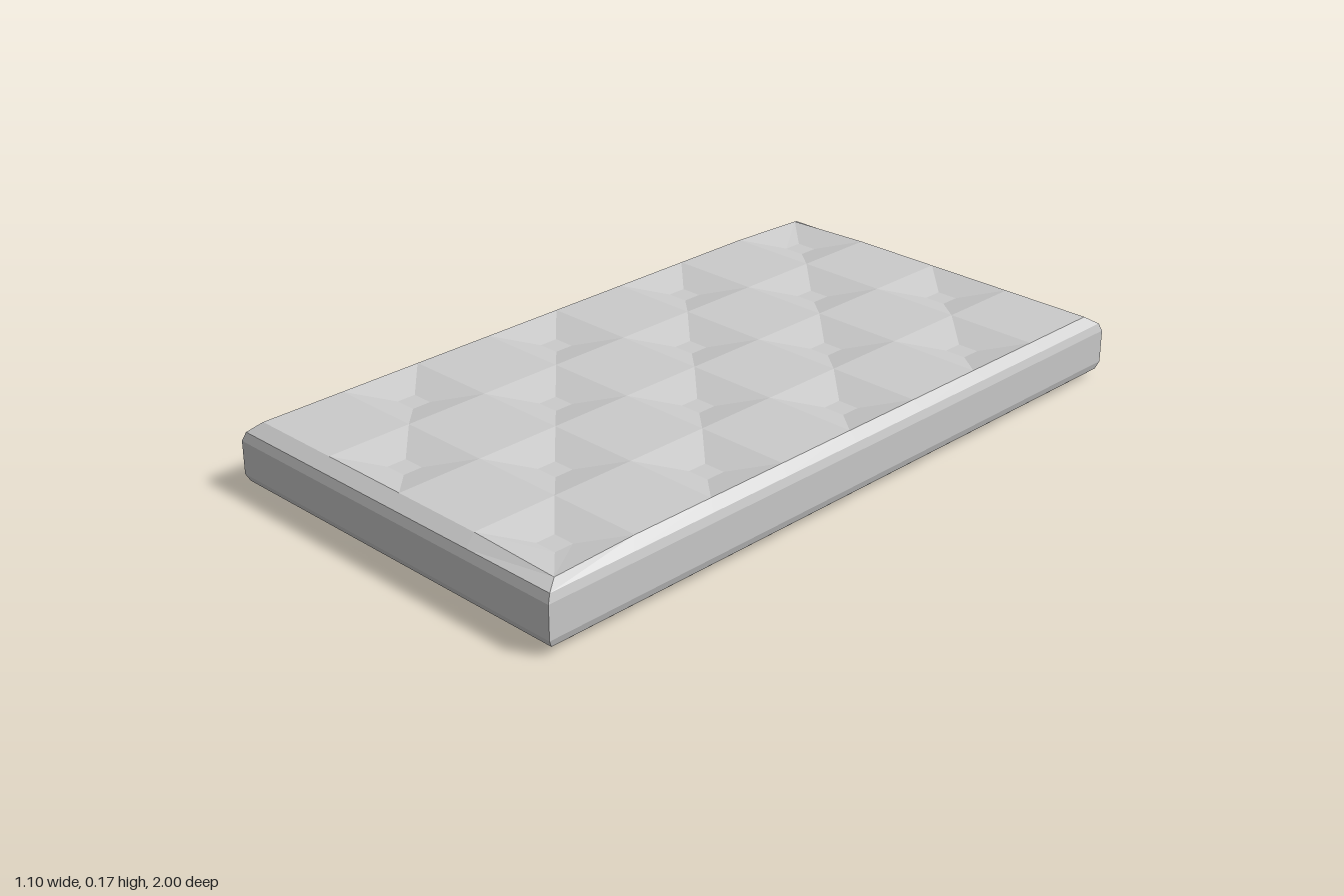
import * as THREE from 'three';

const COLS = 4, ROWS = 8;              // quilting cells across the top
const HX = 0.52, HZ = 0.955;           // half size of the quilted field
const TOP = 0.175, DEPTH = 0.025, SAG = 0.008;

const material = new THREE.MeshStandardMaterial({ color: 0xcccccc, flatShading: true });

// Flat-shaded mesh from a list of counter-clockwise quads
function quadMesh(name, quads) {
  const pos = [];
  for (const [a, b, c, d] of quads) for (const p of [a, b, c, a, c, d]) pos.push(...p);
  const geo = new THREE.BufferGeometry();
  geo.setAttribute('position', new THREE.Float32BufferAttribute(pos, 3));
  geo.computeVertexNormals();
  const mesh = new THREE.Mesh(geo, material);
  mesh.name = name;
  return mesh;
}

// Grid corner of the quilting; the two corners that end in a tuft sag a little
function gridPoint(i, j) {
  const sag = (i === 0 && j === 0) || (i === COLS && j === ROWS);
  return [HX * (2 * i / COLS - 1), TOP - (sag ? SAG : 0), HZ * (2 * j / ROWS - 1)];
}

// Quilted top: flat pads alternating with sunken tufts in a checkerboard
function quiltedTop() {
  const quads = [];
  for (let i = 0; i < COLS; i++) for (let j = 0; j < ROWS; j++) {
    const outer = [gridPoint(i, j), gridPoint(i, j + 1), gridPoint(i + 1, j + 1), gridPoint(i + 1, j)];
    if ((i + j) % 2) { quads.push(outer); continue; }
    const cx = HX * ((2 * i + 1) / COLS - 1), cz = HZ * ((2 * j + 1) / ROWS - 1);
    const inner = [[-1, -1], [-1, 1], [1, 1], [1, -1]]
      .map(([sx, sz]) => [cx + sx * 0.03, TOP - DEPTH, cz + sz * 0.027]);
    for (let k = 0; k < 4; k++) {
      const n = (k + 1) % 4;
      quads.push([outer[k], outer[n], inner[n], inner[k]]);
    }
    quads.push(inner);
  }
  return quadMesh('quiltedTop', quads);
}

// Grid indices around the border, counter-clockwise from above
function borderIndices() {
  const list = [];
  for (let j = 0; j < ROWS; j++) list.push([0, j]);
  for (let i = 0; i < COLS; i++) list.push([i, ROWS]);
  for (let j = ROWS; j > 0; j--) list.push([COLS, j]);
  for (let i = COLS; i > 0; i--) list.push([i, 0]);
  return list;
}

// Sides with bevelled upper and lower edges: [half x, y, half z] per ring
function sides() {
  const rings = [
    [0.52, 0, 0.955], [0.544, 0.02, 0.99], [0.55, 0.04, 1],
    [0.55, 0.13, 1], [0.544, 0.152, 0.99],
  ].map(([hx, y, hz]) => borderIndices().map(([i, j]) =>
    [hx * (2 * i / COLS - 1), y, hz * (2 * j / ROWS - 1)]));
  rings.push(borderIndices().map(([i, j]) => gridPoint(i, j)));
  const quads = [];
  for (let r = 0; r < rings.length - 1; r++) {
    const lo = rings[r], up = rings[r + 1];
    lo.forEach((p, k) => {
      const n = (k + 1) % lo.length;
      quads.push([p, lo[n], up[n], up[k]]);
    });
  }
  return quadMesh('sides', quads);
}

export function createModel() {
  const mattress = new THREE.Group();
  mattress.name = 'mattress';
  const base = quadMesh('base', [[[-HX, 0, -HZ], [HX, 0, -HZ], [HX, 0, HZ], [-HX, 0, HZ]]]);
  mattress.add(quiltedTop(), sides(), base);
  return mattress;
}
